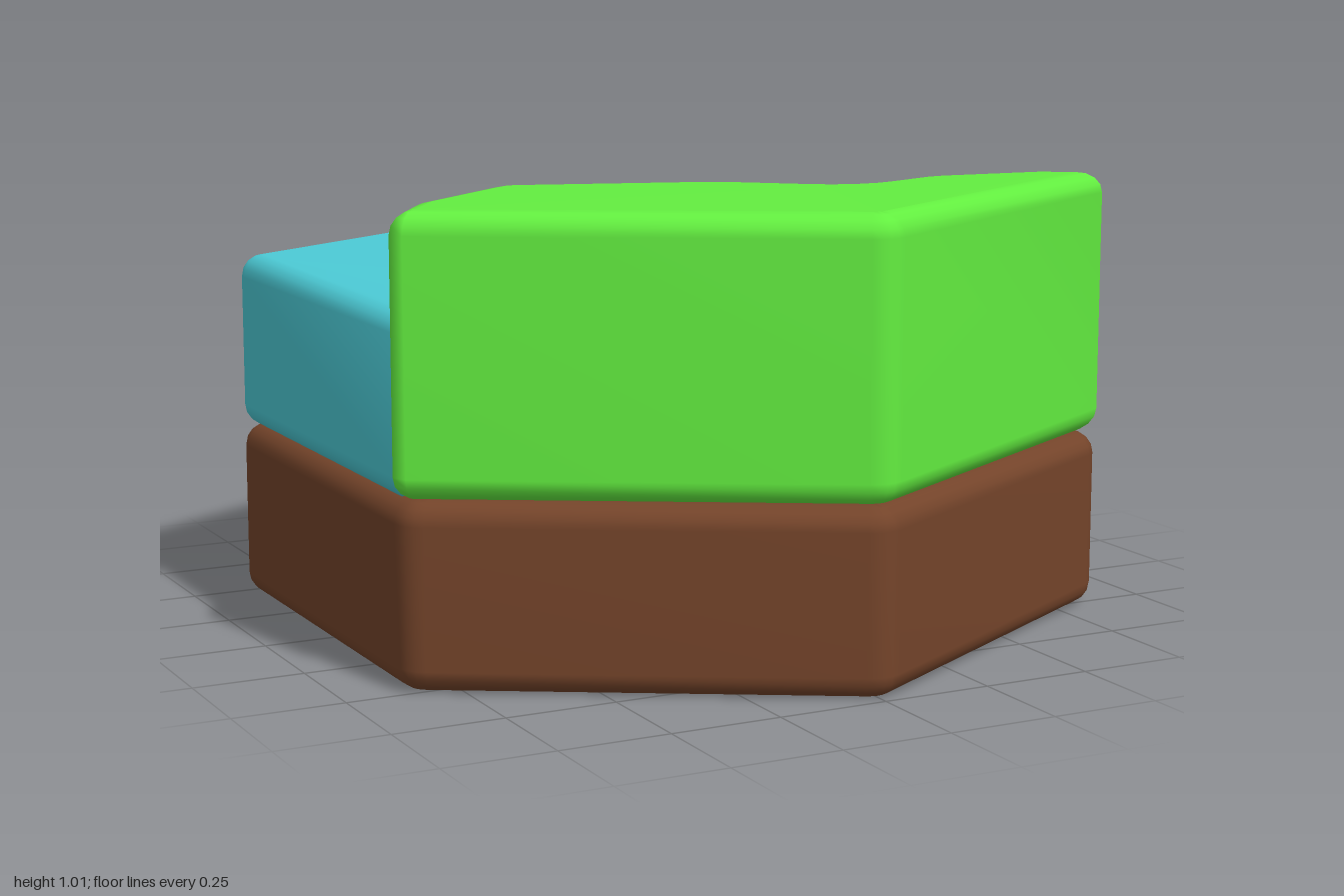
import * as THREE from 'three';
import { mergeVertices } from 'three/addons/utils/BufferGeometryUtils.js';

const BEVEL = 0.05;

// Corners are [x, z, rounding radius]; a radius of 0 keeps the corner sharp.
function roundedOutline(corners) {
  const points = [];
  corners.forEach(([x, z, r], i) => {
    const n = corners.length;
    const p = new THREE.Vector2(x, -z);
    if (!r) return points.push(p);
    const [ax, az] = corners[(i + n - 1) % n];
    const [bx, bz] = corners[(i + 1) % n];
    const toA = new THREE.Vector2(ax, -az).sub(p);
    const toB = new THREE.Vector2(bx, -bz).sub(p);
    const cut = Math.min(r, toA.length() * 0.4, toB.length() * 0.4);
    const a = toA.setLength(cut).add(p);
    const b = toB.setLength(cut).add(p);
    points.push(...new THREE.QuadraticBezierCurve(a, p, b).getPoints(4));
  });
  return new THREE.Shape(points);
}

// Upright slab with soft edges; shared vertices give area-weighted smooth normals.
function slab(name, corners, bottom, top, color) {
  let geometry = new THREE.ExtrudeGeometry(roundedOutline(corners), {
    depth: top - bottom - 2 * BEVEL,
    bevelEnabled: true,
    bevelThickness: BEVEL,
    bevelSize: BEVEL,
    bevelOffset: -BEVEL,
    bevelSegments: 4,
  });
  geometry.rotateX(-Math.PI / 2);
  geometry.translate(0, bottom + BEVEL, 0);
  geometry.deleteAttribute('uv');
  geometry.deleteAttribute('normal');
  geometry = mergeVertices(geometry, 1e-4);
  geometry.computeVertexNormals();
  const mesh = new THREE.Mesh(geometry, new THREE.MeshStandardMaterial({ color }));
  mesh.name = name;
  return mesh;
}

export function createModel() {
  const group = new THREE.Group();
  group.name = 'hexTile';
  const R = 1.01;
  const W = 0.872;
  const r = 0.045;
  const backCorners = [[W, -0.505, r], [0, -R, r], [-W, -0.505, r]];

  // Earth base: full hexagon
  const base = [...backCorners, [-W, 0.505, r], [0, R, r], [W, 0.505, r]];
  group.add(slab('earthBase', base, 0, 0.408, 0x74442a));

  // Water: back part of the hexagon, its front edge tucked into the land
  const water = [
    ...backCorners,
    [-W, 0.475, 0], [-0.7, 0.43, 0], [-0.45, 0.28, 0], [0, 0.42, 0],
    [0.2, 0.56, 0], [0.46, 0.5, 0], [0.7, 0.5, 0], [W, 0.475, 0],
  ];
  group.add(slab('water', water, 0.406, 0.81, 0x4ccbd6));

  // Grass bank: higher front part with a winding shoreline
  const grass = [
    [0.875, 0.493, 0], [0.76, 0.395, 0.03], [0.46, 0.362, 0.05],
    [0.23, 0.45, 0.09], [0, 0.25, 0.05], [-0.48, 0.095, 0.05],
    [-0.78, 0.335, 0.03], [-0.88, 0.478, 0], [-0.865, 0.512, 0], [0, R, r],
  ];
  group.add(slab('grassBank', grass, 0.41, 1.015, 0x63ee40));

  return group;
}
